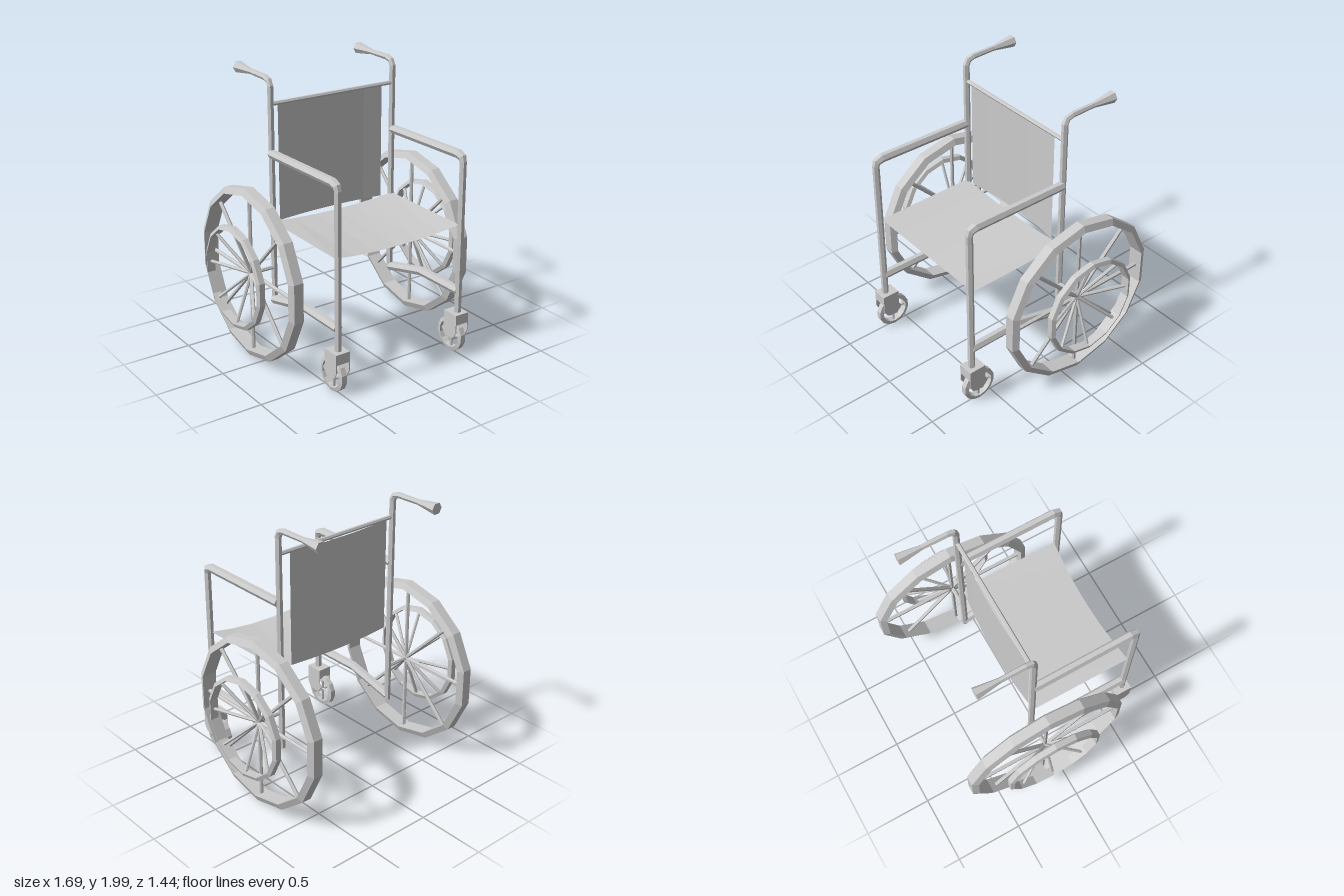
import * as THREE from 'three';

const material = new THREE.MeshStandardMaterial({ color: 0xcccccc, flatShading: true });
const sheetMaterial = new THREE.MeshStandardMaterial({ color: 0xcccccc, flatShading: true, side: THREE.DoubleSide });

function add(parent, name, geometry, mat = material) {
  const mesh = new THREE.Mesh(geometry, mat);
  mesh.name = name;
  parent.add(mesh);
  return mesh;
}

// Six-sided bar between two points
function bar(parent, name, a, b, r) {
  const p = new THREE.Vector3(...a), q = new THREE.Vector3(...b);
  const mesh = add(parent, name, new THREE.CylinderGeometry(r, r, p.distanceTo(q), 6));
  mesh.position.copy(p).add(q).multiplyScalar(0.5);
  mesh.quaternion.setFromUnitVectors(new THREE.Vector3(0, 1, 0), q.sub(p).normalize());
}

// Mitred six-sided tube along [z, y, radius] points in the plane of the given x
function bentTube(parent, name, x, path) {
  const n = 6, pos = [], index = [];
  const pts = path.map(([z, y]) => new THREE.Vector2(z, y));
  path.forEach(([z, y, r], i) => {
    const before = pts[i].clone().sub(pts[Math.max(i - 1, 0)]).normalize();
    const after = pts[Math.min(i + 1, pts.length - 1)].clone().sub(pts[i]).normalize();
    const t = before.clone().add(after).normalize();
    const inner = i > 0 && i < pts.length - 1;
    const mitre = inner ? 1 / t.dot(after) : 1;
    for (let j = 0; j < n; j++) {
      const a = (j / n) * Math.PI * 2, s = Math.sin(a) * r * mitre;
      pos.push(x + Math.cos(a) * r, y + t.x * s, z - t.y * s);
    }
  });
  for (let i = 0; i < path.length - 1; i++) {
    for (let j = 0; j < n; j++) {
      const a = i * n + j, b = i * n + (j + 1) % n;
      index.push(a, b, b + n, a, b + n, a + n);
    }
  }
  const last = (path.length - 1) * n;
  for (let j = 1; j < n - 1; j++) index.push(0, j + 1, j, last, last + j, last + j + 1);
  const g = new THREE.BufferGeometry();
  g.setAttribute('position', new THREE.Float32BufferAttribute(pos, 3));
  g.setIndex(index);
  g.computeVertexNormals();
  add(parent, name, g);
}

// Fourteen-sided rim with bevelled outer edges, axle along x
function rim(parent, name, x, y, z, inner, outer, halfInner, halfOuter) {
  const profile = [[outer, -halfOuter], [outer, halfOuter], [inner, halfInner], [inner, -halfInner], [outer, -halfOuter]];
  const g = new THREE.LatheGeometry(profile.map(p => new THREE.Vector2(...p)), 14, Math.PI / 2);
  add(parent, name, g.rotateZ(Math.PI / 2)).position.set(x, y, z);
}

// Spokes from a hub point out to a rim, which may lie in another plane
function spokes(parent, name, count, hubX, rimX, y, z, radius, r) {
  for (let i = 0; i < count; i++) {
    const a = (i / count) * Math.PI * 2;
    bar(parent, name, [hubX, y, z], [rimX, y + Math.sin(a) * radius, z + Math.cos(a) * radius], r);
  }
}

// Thin cloth grid; place(u, v) returns [x, y, z] for u, v in 0..1
function cloth(parent, name, place) {
  const g = new THREE.PlaneGeometry(1, 1, 6, 1), p = g.attributes.position;
  for (let i = 0; i < p.count; i++) p.setXYZ(i, ...place(p.getX(i) + 0.5, p.getY(i) + 0.5));
  g.computeVertexNormals();
  add(parent, name, g, sheetMaterial);
}

function buildFrame(parent, s) {
  const x = 0.505 * s;
  bentTube(parent, 'frontPostAndArmrest', x, [
    [0.66, 0.3, 0.025], [0.66, 1.41, 0.025], [0.65, 1.44, 0.029], [0.61, 1.455, 0.032], [-0.115, 1.45, 0.032],
  ]);
  bentTube(parent, 'rearPostAndPushHandle', 0.5 * s, [
    [-0.12, 0.355, 0.023], [-0.12, 1.91, 0.023], [-0.137, 1.945, 0.022], [-0.18, 1.958, 0.021],
    [-0.36, 1.96, 0.019], [-0.53, 1.96, 0.043],
  ]);
  bentTube(parent, 'lowerRail', x, [[0.66, 0.475, 0.033], [0.25, 0.475, 0.033], [-0.12, 0.385, 0.033]]);
}

function buildDriveWheel(parent, s) {
  const y = 0.63, z = -0.115, x = 0.688 * s;
  const wheel = new THREE.Group();
  wheel.name = 'driveWheel';
  parent.add(wheel);
  rim(wheel, 'tyre', x, y, z, 0.57, 0.615, 0.055, 0.035);
  rim(wheel, 'handRim', 0.815 * s, y, z, 0.34, 0.367, 0.032, 0.02);
  spokes(wheel, 'wheelSpoke', 8, x, x, y, z, 0.575, 0.014);
  spokes(wheel, 'handRimSpoke', 8, x, 0.815 * s, y, z, 0.345, 0.012);
  bar(wheel, 'axle', [0.5 * s, y, z], [x, y, z], 0.014);
}

function buildCaster(parent, s) {
  const x = 0.503 * s, y = 0.13, z = 0.607;
  const caster = new THREE.Group();
  caster.name = 'caster';
  parent.add(caster);
  rim(caster, 'casterTyre', x, y, z, 0.098, 0.126, 0.026, 0.019);
  spokes(caster, 'casterSpoke', 4, x, x, y, z, 0.1, 0.01);
  bar(caster, 'casterAxle', [x - 0.052, y, z], [x + 0.052, y, z], 0.01);
  add(caster, 'forkBlock', new THREE.BoxGeometry(0.108, 0.075, 0.13)).position.set(x, 0.278, 0.648);
  // Fork cheeks, drawn as (-z, y) outlines and turned to face sideways
  const outline = [[-0.713, 0.315], [-0.713, 0.18], [-0.69, 0.14], [-0.66, 0.128], [-0.605, 0.128],
    [-0.562, 0.175], [-0.583, 0.205], [-0.583, 0.315]];
  for (const side of [-1, 1]) {
    const g = new THREE.ExtrudeGeometry(new THREE.Shape(outline.map(p => new THREE.Vector2(...p))),
      { depth: 0.006, bevelEnabled: false });
    g.translate(0, 0, -0.003).rotateY(Math.PI / 2);
    add(caster, 'forkCheek', g).position.x = x + side * 0.052;
  }
}

export function createModel() {
  const model = new THREE.Group();
  model.name = 'wheelchair';

  for (const s of [1, -1]) {
    const half = new THREE.Group();
    half.name = s > 0 ? 'leftSide' : 'rightSide';
    model.add(half);
    buildFrame(half, s);
    buildDriveWheel(half, s);
    buildCaster(half, s);
  }

  bar(model, 'topCrossbar', [-0.505, 1.79, -0.12], [0.5, 1.79, -0.12], 0.015);

  // Seat sags more at its front edge than at the back
  cloth(model, 'seat', (u, v) => {
    const sag = 4 * u * (1 - u);
    return [-0.51 + 1.02 * u, THREE.MathUtils.lerp(0.955 - 0.042 * sag, 0.967 - 0.025 * sag, v),
      THREE.MathUtils.lerp(0.64 - 0.027 * sag, -0.115, v)];
  });

  // Backrest bows towards the rear
  cloth(model, 'backrest', (u, v) =>
    [-0.446 + 0.854 * u, 0.962 + 0.818 * v, -0.12 - 0.028 * 4 * u * (1 - u)]);

  return model;
}
